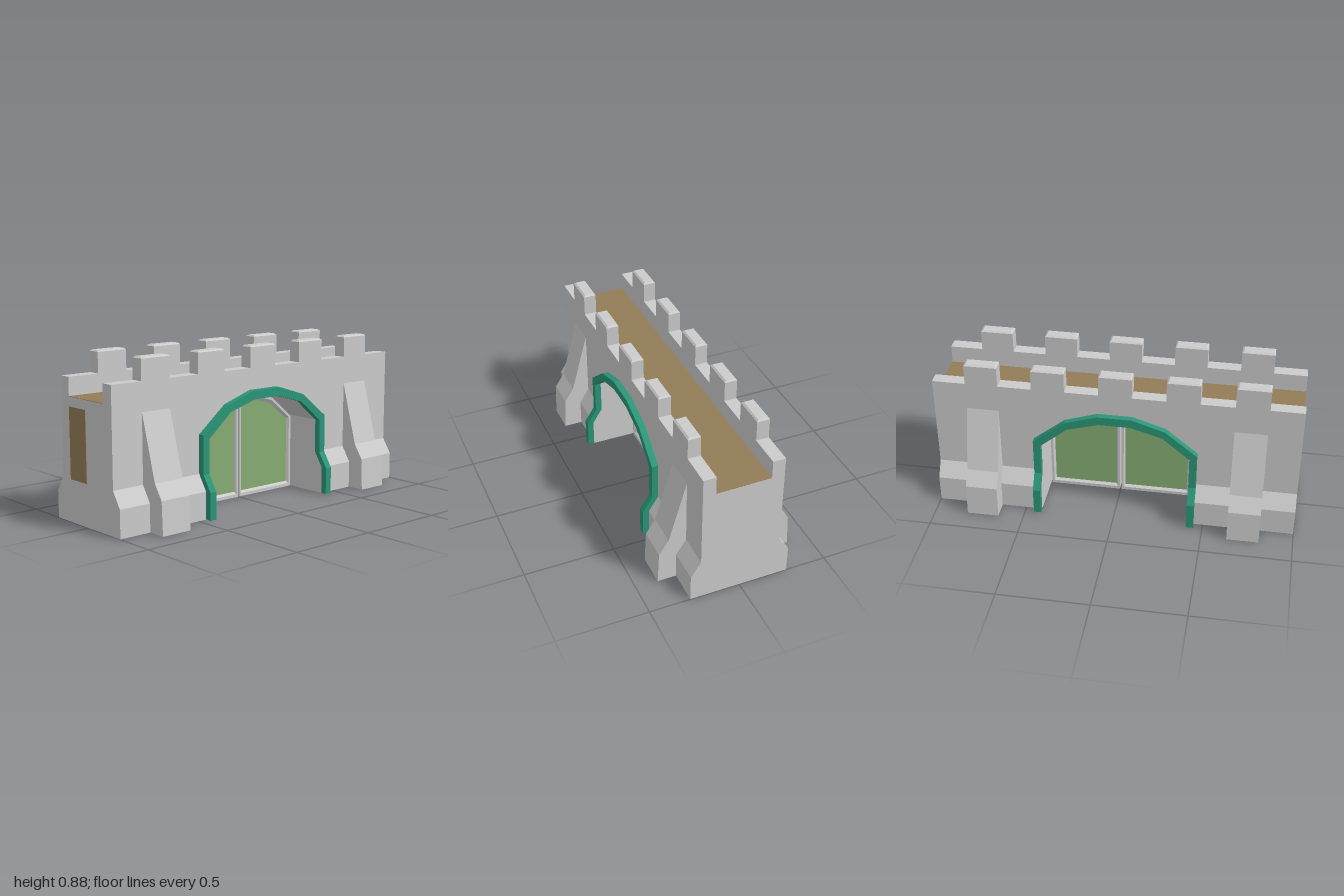
import * as THREE from 'three';

const mat = (color, side = THREE.FrontSide) =>
  new THREE.MeshStandardMaterial({ color, side, flatShading: true });
const STONE = mat(0xcccccc);
const STONE_THIN = mat(0xcccccc, THREE.DoubleSide);
const TRIM = mat(0x2a9678);
const PANEL = mat(0x86ad72);
const WOOD = mat(0x937c58);

const WALL = 0.22, INNER = 0.15, FLOOR = 0.66, PARAPET = 0.76, TOP = 0.88;
const OPEN = 0.41; // half width of the gateway

function mesh(name, geometry, material, parent) {
  const m = new THREE.Mesh(geometry, material);
  m.name = name;
  parent.add(m);
  return m;
}

function box(name, size, pos, material, parent) {
  const m = mesh(name, new THREE.BoxGeometry(...size), material, parent);
  m.position.set(...pos);
  return m;
}

const shapeOf = pts => new THREE.Shape(pts.map(p => new THREE.Vector2(...p)));
const mirrored = half => [...half, ...half.map(([x, y]) => [-x, y]).reverse()];

// Extrude a symmetric (z, y) profile along x from x0 to x1
function alongX(half, x0, x1) {
  const g = new THREE.ExtrudeGeometry(shapeOf(mirrored(half)), { depth: x1 - x0, bevelEnabled: false });
  return g.rotateY(Math.PI / 2).translate(x0, 0, 0);
}

// Extrude a front-facing (x, y) shape, centred on z = 0
function alongZ(shape, depth) {
  return new THREE.ExtrudeGeometry(shape, { depth, bevelEnabled: false }).translate(0, 0, -depth / 2);
}

// Join equal-length closed loops of points; optionally cap both ends
function loft(loops, capped) {
  const n = loops[0].length, index = [];
  for (let i = 0; i < loops.length - 1; i++)
    for (let j = 0; j < n; j++) {
      const k = (j + 1) % n, a = i * n + j, b = i * n + k;
      index.push(a, b, b + n, a, b + n, a + n);
    }
  if (capped) {
    const e = (loops.length - 1) * n;
    for (let j = 1; j < n - 1; j++) index.push(0, j + 1, j, e, e + j, e + j + 1);
  }
  const g = new THREE.BufferGeometry();
  g.setAttribute('position', new THREE.Float32BufferAttribute(loops.flat(2), 3));
  g.setIndex(index);
  const flat = g.toNonIndexed();
  flat.computeVertexNormals();
  return flat;
}

// Merlon block with a small chamfer around its top
function merlonGeometry(w, d) {
  const c = 0.01, rect = (y, s) => {
    const x = w / 2 - s, z = d / 2 - s;
    return [[x, y, -z], [-x, y, -z], [-x, y, z], [x, y, z]];
  };
  return loft([rect(PARAPET, 0), rect(TOP - 0.008, 0), rect(TOP, c)], true);
}

// Raised arch trim that follows the flared foot of the wall
function archTrimGeometry() {
  const inner = mirrored([[0.41, 0], [0.41, 0.15], [0.41, 0.235], [0.41, 0.42], [0.26, 0.545], [0.085, 0.595]]);
  const outer = mirrored([[0.45, 0], [0.45, 0.15], [0.45, 0.235], [0.45, 0.445], [0.275, 0.585], [0.095, 0.643]]);
  const wallZ = y => WALL + 0.055 * THREE.MathUtils.clamp((0.235 - y) / 0.085, 0, 1);
  return loft(inner.map(([ix, iy], i) => {
    const [ox, oy] = outer[i], zi = wallZ(iy), zo = wallZ(oy), t = 0.035;
    return [[ox, oy, zo], [ix, iy, zi], [ix, iy, zi + t], [ox, oy, zo + t]];
  }), true);
}

// One gate leaf: frame, sloped inner moulding and panel
function gateLeaf(name) {
  const leaf = new THREE.Group();
  leaf.name = name;
  const outline = [[0.005, 0], [0.403, 0], [0.403, 0.417], [0.257, 0.539], [0.084, 0.59], [0.005, 0.59]];
  const edge = [[0.017, 0.018], [0.39, 0.018], [0.39, 0.411], [0.251, 0.526], [0.082, 0.575], [0.017, 0.575]];
  const sight = [[0.025, 0.03], [0.38, 0.03], [0.38, 0.404], [0.245, 0.508], [0.08, 0.555], [0.025, 0.555]];
  const frame = shapeOf(outline);
  frame.holes.push(shapeOf(edge));
  mesh('leafFrame', alongZ(frame, 0.05), STONE, leaf);
  for (const s of [1, -1]) {
    const at = (pts, z) => pts.map(([x, y]) => [x, y, s * z]);
    mesh('leafMoulding', loft([at(edge, 0.025), at(sight, 0.012)]), STONE_THIN, leaf);
  }
  mesh('leafPanel', alongZ(shapeOf(sight), 0.024), PANEL, leaf);
  return leaf;
}

export function createModel() {
  const model = new THREE.Group();
  model.name = 'castleGateWall';

  // Wall piers with a flared foot, and buttresses running through them
  const wallProfile = [[0.275, 0], [0.275, 0.15], [WALL, 0.235], [WALL, FLOOR]];
  const buttressProfile = [[0.378, 0], [0.37, 0.18], [0.317, 0.26], [WALL, 0.605]];
  for (const s of [1, -1]) {
    const side = s > 0 ? 'left' : 'right';
    mesh(side + 'Pier', alongX(wallProfile, s > 0 ? OPEN : -1, s > 0 ? 1 : -OPEN), STONE, model);
    mesh(side + 'Buttress', alongX(buttressProfile, s * 0.728 - 0.088, s * 0.728 + 0.088), STONE, model);
  }

  // Wall over the gateway, with a faceted arched underside
  const arch = mirrored([[OPEN, FLOOR], [OPEN, 0.42], [0.26, 0.545], [0.085, 0.595]]);
  mesh('archWall', alongZ(shapeOf(arch), WALL * 2), STONE, model);

  // Walkway
  box('walkway', [2, 0.002, INNER * 2], [0, FLOOR, 0], WOOD, model);

  // Parapets, merlons and arch trims, front and back
  const depth = WALL - INNER, midZ = (WALL + INNER) / 2;
  const merlon = merlonGeometry(0.18, depth);
  const trim = archTrimGeometry();
  for (const s of [1, -1]) {
    const face = s > 0 ? 'front' : 'back';
    box(face + 'Parapet', [2, PARAPET - FLOOR, depth], [0, (PARAPET + FLOOR) / 2, s * midZ], STONE, model);
    for (let i = -2; i <= 2; i++)
      mesh(face + 'Merlon', merlon, STONE, model).position.set(i * 0.364, 0, s * midZ);
    mesh(face + 'ArchTrim', trim, TRIM, model).rotation.y = s > 0 ? 0 : Math.PI;
  }

  // Pair of gate leaves
  const right = gateLeaf('rightGateLeaf');
  right.rotation.y = Math.PI;
  model.add(gateLeaf('leftGateLeaf'), right);

  // Doorway on the right end and hatch beneath it
  box('endDoor', [0.002, 0.38, 0.145], [-1, 0.418, -0.078], WOOD, model);
  box('floorHatch', [0.175, 0.002, 0.145], [-0.912, 0, -0.078], WOOD, model);

  return model;
}
